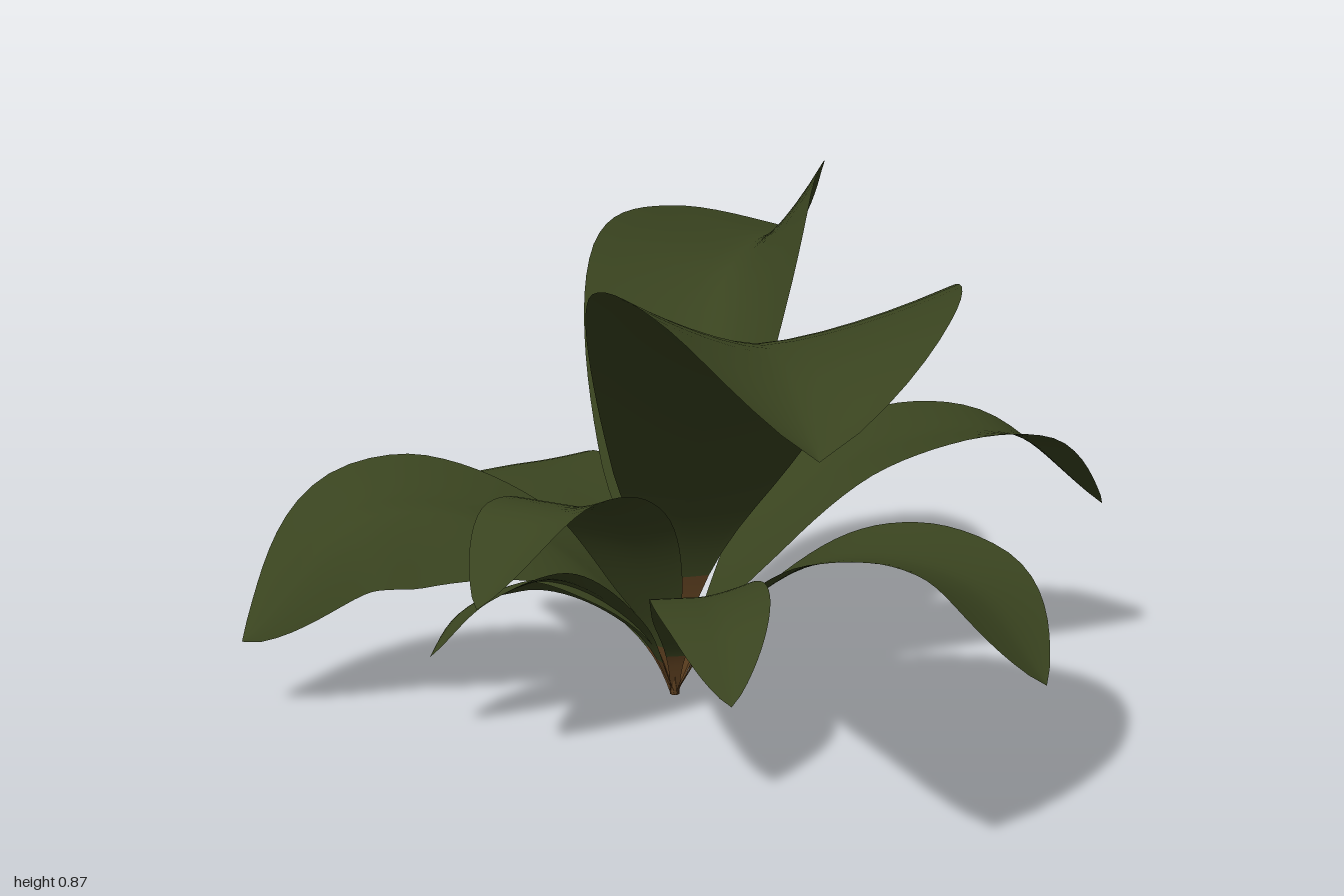
import * as THREE from 'three';

const ROWS = 36, COLS = 12;
const UP = new THREE.Vector3(0, 1, 0);
const BASE = new THREE.Vector3(-0.05, 0, -0.14);
const green = new THREE.MeshStandardMaterial({ name: 'leaf green', color: 0x39431f, side: THREE.DoubleSide });
const brown = new THREE.MeshStandardMaterial({ name: 'stalk brown', color: 0x5e4020, side: THREE.DoubleSide });

// Leaf swept along its midrib, which runs from the base through the given points.
// right and left are [width, lift] of each edge, seen looking out along the leaf;
// peak is where along the midrib the blade is widest, stalk is the brown share of it,
// and a smaller blunt value gives a rounder outline.
function makeLeaf(name, midrib, { right, left, peak = 0.6, stalk = 0.12, blunt = 0.8 }) {
  const rib = new THREE.CatmullRomCurve3([BASE, ...midrib.map((p) => new THREE.Vector3(...p))], false, 'centripetal');
  const heading = rib.getPoint(1).sub(BASE).setY(0).normalize().multiplyScalar(0.3);
  const skew = Math.log(0.5) / Math.log(peak);
  const positions = [], index = [];
  for (let i = 0; i <= ROWS; i++) {
    const t = i / ROWS;
    const m = rib.getPointAt(t), tangent = rib.getTangentAt(t);
    const side = tangent.clone().add(heading).cross(UP).normalize();
    const normal = side.clone().cross(tangent).normalize().lerp(UP, 0.5);
    const swell = Math.max(0, Math.sin(Math.PI * t ** skew)) ** blunt * THREE.MathUtils.smoothstep(t, -0.06, 0.28);
    const rise = swell * Math.min(1, t / peak);
    for (let j = 0; j <= COLS; j++) {
      const u = (2 * j) / COLS - 1;
      const [width, lift] = u > 0 ? right : left;
      const p = m.clone()
        .addScaledVector(side, u * (width * swell + 0.008 * (1 - t)))
        .addScaledVector(normal, Math.abs(u) ** 1.5 * lift * rise);
      positions.push(p.x, p.y, p.z);
    }
  }
  for (let i = 0; i < ROWS; i++) {
    for (let j = 0; j < COLS; j++) {
      const p = i * (COLS + 1) + j, q = p + COLS + 1;
      index.push(p, p + 1, q, p + 1, q + 1, q);
    }
  }
  const geometry = new THREE.BufferGeometry();
  geometry.setAttribute('position', new THREE.Float32BufferAttribute(positions, 3));
  geometry.setIndex(index);
  geometry.computeVertexNormals();
  // Brown stalk rows, then the green blade
  const split = Math.round(stalk * ROWS) * COLS * 6;
  geometry.addGroup(0, split, 0);
  geometry.addGroup(split, index.length - split, 1);
  const mesh = new THREE.Mesh(geometry, [brown, green]);
  mesh.name = name;
  return mesh;
}

export function createModel() {
  const plant = new THREE.Group();
  plant.name = 'leafyPlant';
  const addLeaf = (...leaf) => plant.add(makeLeaf(...leaf));

  // Two tall channelled leaves
  addLeaf('tallFrontLeaf',
    [[-0.045, 0.3, -0.08], [-0.02, 0.6, 0.21], [-0.01, 0.71, 0.5], [0, 0.715, 0.75], [0, 0.64, 1]],
    { right: [0.22, 0.08], left: [0.3, 0.08], peak: 0.62, stalk: 0.14 });
  addLeaf('tallBackLeaf',
    [[-0.035, 0.25, -0.2], [0.03, 0.55, -0.36], [0.09, 0.67, -0.53], [0.19, 0.71, -0.78], [0.3, 0.7, -1]],
    { right: [0.17, 0.19], left: [0.23, 0.08], peak: 0.59, stalk: 0.19 });

  // Long arching side leaves
  addLeaf('rightSideLeaf',
    [[-0.09, 0.1, -0.15], [-0.29, 0.28, -0.2], [-0.58, 0.32, -0.21], [-0.78, 0.12, -0.14]],
    { right: [0.14, 0.06], left: [0.11, -0.12], stalk: 0.1 });
  addLeaf('leftSideLeaf',
    [[0.04, 0.18, -0.17], [0.25, 0.37, -0.26], [0.58, 0.4, -0.36], [0.78, 0.25, -0.42]],
    { right: [0.16, 0.02], left: [0.14, 0.03], peak: 0.62, stalk: 0.1 });

  // Shorter leaves between them
  addLeaf('frontLeftLeaf',
    [[0.03, 0.13, -0.11], [0.2, 0.26, -0.02], [0.4, 0.245, 0.09], [0.51, 0.1, 0.22]],
    { right: [0.15, 0.03], left: [0.15, 0.03], peak: 0.62, blunt: 0.75 });
  addLeaf('backRightLeaf',
    [[-0.09, 0.13, -0.2], [-0.18, 0.28, -0.36], [-0.27, 0.33, -0.55], [-0.31, 0.19, -0.69]],
    { right: [0.13, 0.01], left: [0.15, -0.01], blunt: 0.7 });
  addLeaf('frontRightLeaf',
    [[-0.08, 0.14, -0.12], [-0.17, 0.34, -0.02], [-0.29, 0.38, 0.11], [-0.4, 0.26, 0.23]],
    { right: [0.13, 0], left: [0.11, 0.03] });

  // Low leaves tucked underneath
  addLeaf('lowRightLeaf',
    [[-0.11, 0.12, -0.13], [-0.26, 0.225, -0.08], [-0.4, 0.2, -0.01], [-0.47, 0.13, 0.03]],
    { right: [0.08, -0.04], left: [0.08, 0.03] });
  addLeaf('lowFrontLeaf',
    [[-0.05, 0.1, -0.1], [-0.035, 0.22, 0.05], [-0.03, 0.23, 0.26], [-0.03, 0.15, 0.43]],
    { right: [0.085, 0], left: [0.09, 0.03] });
  addLeaf('backSheath',
    [[-0.045, 0.09, -0.16], [-0.04, 0.17, -0.24]],
    { right: [0.04, 0], left: [0.035, 0], stalk: 0.5 });

  // Short stem where the stalks meet
  const stem = new THREE.Mesh(new THREE.CylinderGeometry(0.014, 0.007, 0.08, 10), brown);
  stem.name = 'stem';
  stem.position.set(BASE.x, 0.04, BASE.z);
  plant.add(stem);
  return plant;
}
